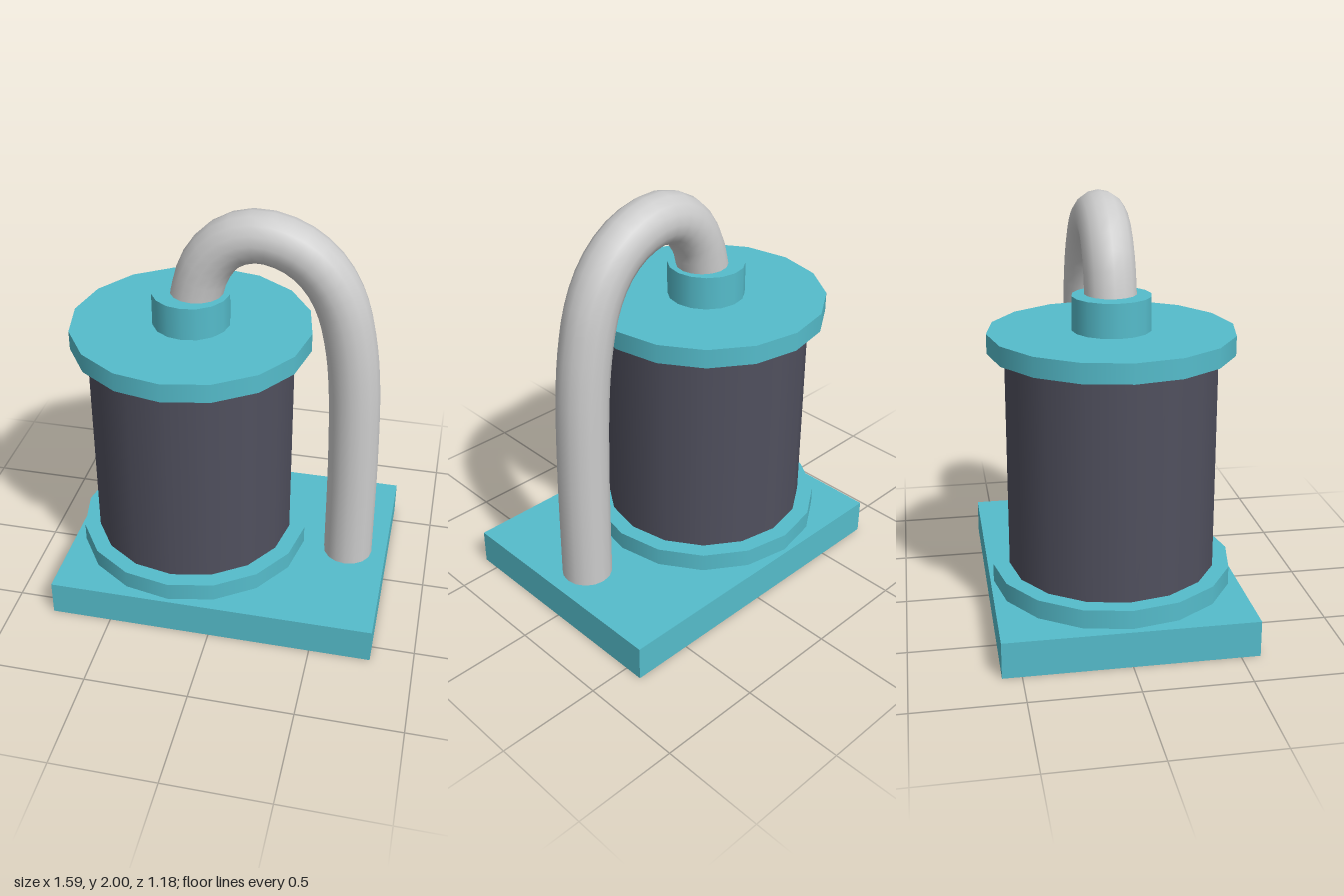
import * as THREE from 'three';

const teal = new THREE.MeshStandardMaterial({ color: 0x55bccb });
const dark = new THREE.MeshStandardMaterial({ color: 0x50505e });
const grey = new THREE.MeshStandardMaterial({ color: 0xcccccc });

export function createModel() {
  const model = new THREE.Group();
  const add = (name, geometry, material, x = 0, y = 0) => {
    const mesh = new THREE.Mesh(geometry, material);
    mesh.name = name;
    mesh.position.set(x, y, 0);
    model.add(mesh);
  };
  // Sixteen-sided discs sharing the tank axis
  const disc = (name, radius, bottom, top, material) =>
    add(name, new THREE.CylinderGeometry(radius, radius, top - bottom, 16), material, -0.203, (bottom + top) / 2);

  // Rectangular base plate
  add('base', new THREE.BoxGeometry(1.59, 0.174, 1.18), teal, 0, 0.087);

  // Tank with a flange at each end and a collar on top
  disc('lowerFlange', 0.575, 0.182, 0.272, teal);
  disc('tank', 0.496, 0.19, 1.4, dark);
  disc('upperFlange', 0.575, 1.32, 1.412, teal);
  disc('collar', 0.185, 1.4, 1.572, teal);

  // Pipe arching from the collar down to the base
  const path = new THREE.CatmullRomCurve3([
    [-0.2, 1.45], [-0.175, 1.57], [-0.14, 1.69], [-0.08, 1.785], [0, 1.85], [0.12, 1.879],
    [0.265, 1.845], [0.37, 1.777], [0.45, 1.682], [0.51, 1.555], [0.553, 1.375],
    [0.58, 1.15], [0.596, 0.75], [0.601, 0.16],
  ].map(([x, y]) => new THREE.Vector3(x, y, 0)));
  add('pipe', new THREE.TubeGeometry(path, 36, 0.122, 16), grey);

  return model;
}
